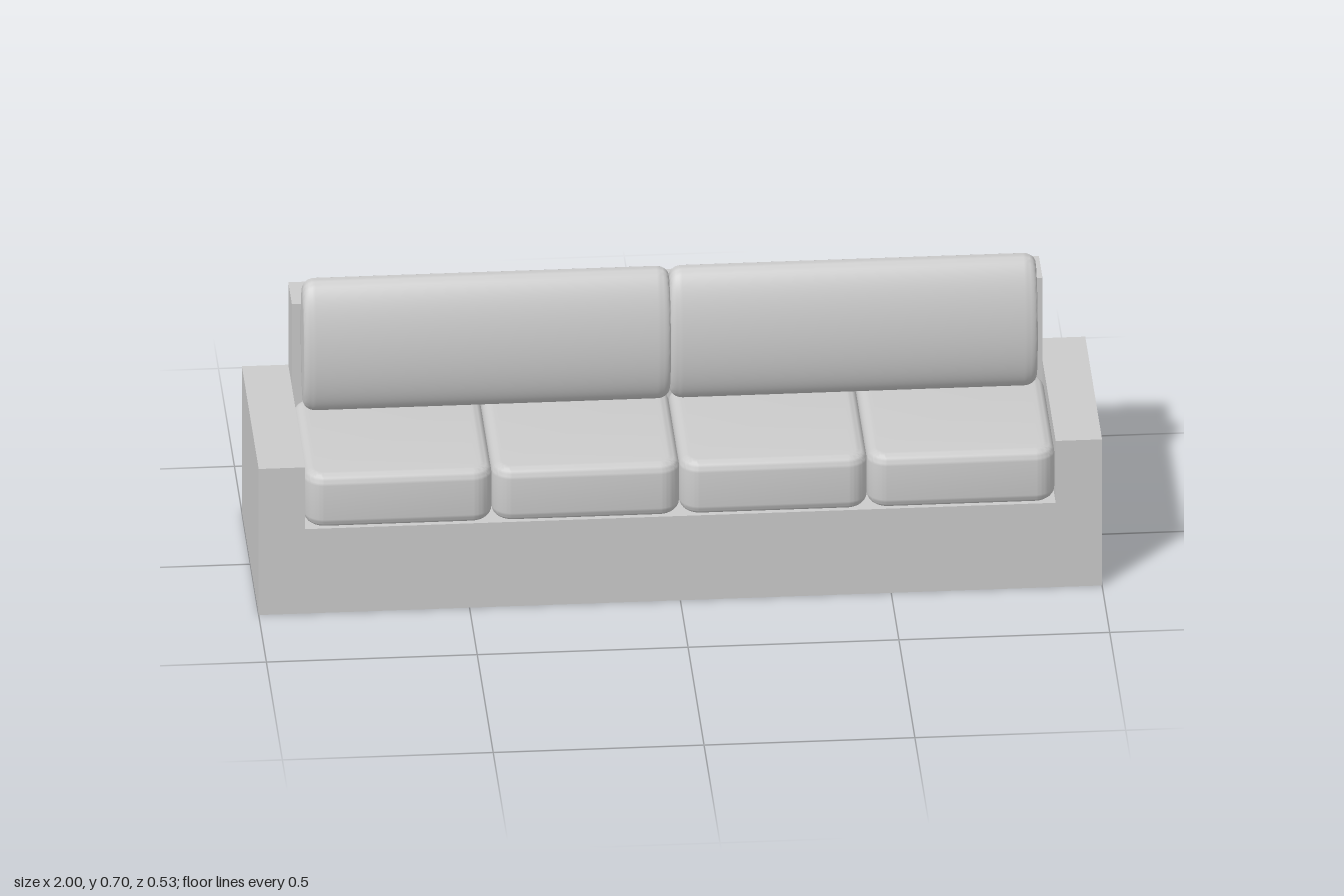
import * as THREE from 'three';
import { toCreasedNormals } from 'three/addons/utils/BufferGeometryUtils.js';

const BACK = -0.265, FRONT = 0.26, SEAT = 0.225, ARM = 0.39, INNER = 0.89;

// Soft block with rounded plan corners and rolled top and bottom edges, centred
function cushionGeometry(w, h, d, corner, roll) {
  const x = w / 2 - roll, y = d / 2 - roll, r = corner - roll;
  const shape = new THREE.Shape();
  shape.absarc(x - r, y - r, r, 0, Math.PI / 2);
  shape.absarc(r - x, y - r, r, Math.PI / 2, Math.PI);
  shape.absarc(r - x, r - y, r, Math.PI, Math.PI * 1.5);
  shape.absarc(x - r, r - y, r, Math.PI * 1.5, Math.PI * 2);
  const geo = new THREE.ExtrudeGeometry(shape, {
    depth: h - 2 * roll, bevelThickness: roll, bevelSize: roll, bevelSegments: 6, curveSegments: 8,
  });
  geo.center().rotateX(-Math.PI / 2);
  return toCreasedNormals(geo, 0.6);
}

// Elliptical bolster lying along x, with rounded-over flat ends
function bolsterGeometry(length, halfHeight, halfDepth) {
  const half = length / 2, rim = 0.03, inset = 0.16;
  const end = [];
  for (let i = 0; i <= 6; i++) {
    const a = (i / 6) * Math.PI / 2;
    end.push(new THREE.Vector2(1 - inset + inset * Math.sin(a), -half + rim - rim * Math.cos(a)));
  }
  const profile = [
    new THREE.Vector2(0, -half),
    new THREE.Vector2(0.6, -half),
    ...end,
    ...end.map((p) => new THREE.Vector2(p.x, -p.y)).reverse(),
    new THREE.Vector2(0.6, half),
    new THREE.Vector2(0, half),
  ];
  const geo = new THREE.LatheGeometry(profile, 64);
  geo.rotateZ(-Math.PI / 2).scale(1, halfHeight, halfDepth);
  geo.computeVertexNormals();
  return toCreasedNormals(geo, 0.6);
}

export function createModel() {
  const sofa = new THREE.Group();
  sofa.name = 'sofa';
  const material = new THREE.MeshStandardMaterial({ color: 0xcccccc });

  function add(name, geometry, x, y, z) {
    const mesh = new THREE.Mesh(geometry, material);
    mesh.name = name;
    mesh.position.set(x, y, z);
    sofa.add(mesh);
    return mesh;
  }

  // Base and both arms as one U-shaped block
  const outline = new THREE.Shape([
    [-1, 0], [1, 0], [1, ARM], [INNER, ARM], [INNER, SEAT], [-INNER, SEAT], [-INNER, ARM], [-1, ARM],
  ].map(([x, y]) => new THREE.Vector2(x, y)));
  add('baseAndArms', new THREE.ExtrudeGeometry(outline, { depth: FRONT - BACK, bevelEnabled: false }), 0, 0, BACK);

  // Backrest between the arms
  const backDepth = 0.112, backHeight = 0.61 - SEAT;
  add('backrest', new THREE.BoxGeometry(2 * INNER, backHeight, backDepth), 0, SEAT + backHeight / 2, BACK + backDepth / 2);

  // Four seat cushions, slightly proud of the base
  const seatFront = 0.265, seatBack = BACK + backDepth, width = INNER / 2;
  const seatGeo = cushionGeometry(width, 0.14, seatFront - seatBack, 0.05, 0.025);
  for (let i = 0; i < 4; i++) {
    add(`seatCushion${i + 1}`, seatGeo, (i - 1.5) * width, SEAT + 0.07, (seatFront + seatBack) / 2);
  }

  // Two back cushions leaning on the backrest
  const backGeo = bolsterGeometry(0.87, 0.169, 0.063);
  for (const side of [-1, 1]) {
    const cushion = add(side < 0 ? 'rightBackCushion' : 'leftBackCushion', backGeo, side * 0.435, 0.535, -0.089);
    cushion.rotation.x = -0.066;
  }

  return sofa;
}
